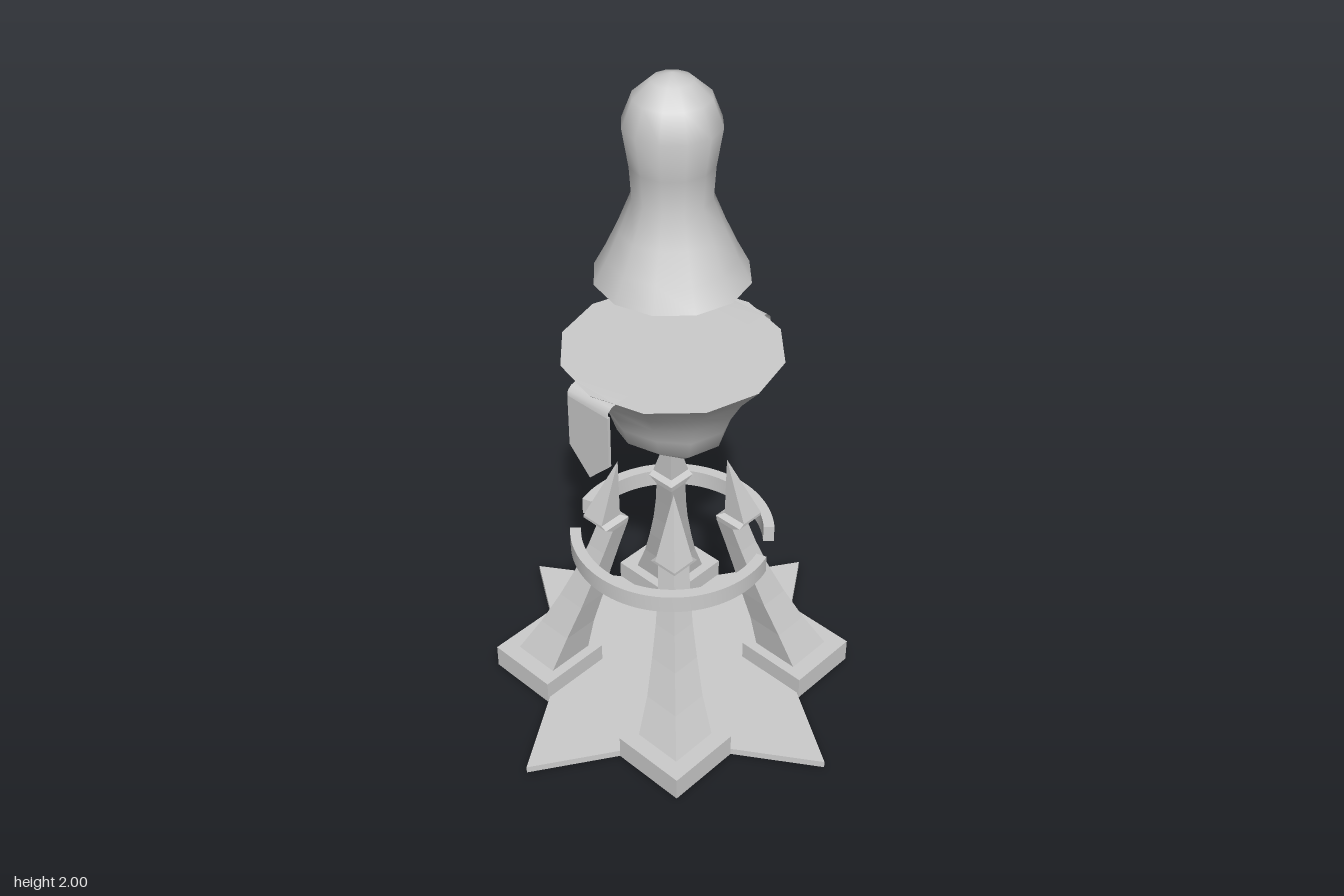
import * as THREE from 'three';
import { toCreasedNormals } from 'three/addons/utils/BufferGeometryUtils.js';

const grey = new THREE.MeshStandardMaterial({ color: 0xcccccc });
const greyDouble = new THREE.MeshStandardMaterial({ color: 0xcccccc, side: THREE.DoubleSide });

function add(parent, name, geometry, material = grey) {
  const mesh = new THREE.Mesh(geometry, material);
  mesh.name = name;
  parent.add(mesh);
  return mesh;
}

// Flat plate: outline in plan, raised from y0 to y1
function plate(shape, y0, y1) {
  const g = new THREE.ExtrudeGeometry(shape, { depth: y1 - y0, bevelEnabled: false, curveSegments: 24 });
  g.rotateX(-Math.PI / 2);
  g.translate(0, y0, 0);
  return g;
}

function square(half, PathType = THREE.Shape) {
  return new PathType([[-1, -1], [1, -1], [1, 1], [-1, 1]].map(([x, y]) => new THREE.Vector2(x * half, y * half)));
}

// Square sections [inner, outer, y] joined along the diagonal x = z
function loft(sections) {
  const rings = sections.map(([a, b, y]) => [[a, y, a], [a, y, b], [b, y, b], [b, y, a]]);
  const pos = [];
  for (let s = 0; s < rings.length - 1; s++) {
    for (let i = 0; i < 4; i++) {
      const j = (i + 1) % 4;
      const [a, b, c, d] = [rings[s][i], rings[s][j], rings[s + 1][j], rings[s + 1][i]];
      pos.push(...a, ...b, ...c, ...a, ...c, ...d);
    }
  }
  const g = new THREE.BufferGeometry();
  g.setAttribute('position', new THREE.Float32BufferAttribute(pos, 3));
  g.computeVertexNormals();
  return g;
}

function lathe(points) {
  return new THREE.LatheGeometry(points.map(([r, y]) => new THREE.Vector2(r, y)), 12);
}

export function createModel() {
  const model = new THREE.Group();
  model.name = 'brazier';

  // Four-pointed floor star
  const star = new THREE.Shape();
  for (let i = 0; i < 8; i++) {
    const r = i % 2 ? 0.344 : 0.615;
    const a = (i * Math.PI) / 4;
    star[i ? 'lineTo' : 'moveTo'](r * Math.cos(a), r * Math.sin(a));
  }
  add(model, 'starBase', plate(star, 0, 0.022));

  // Four corner supports: hollow foot, curved leg, spike
  const footRim = square(0.115);
  footRim.holes.push(square(0.07, THREE.Path));
  for (let i = 0; i < 4; i++) {
    const support = new THREE.Group();
    support.name = 'support';
    support.rotation.y = (i * Math.PI) / 2;
    model.add(support);
    add(support, 'footRim', plate(footRim, 0.004, 0.045)).position.set(0.27, 0, 0.27);
    add(support, 'footTop', plate(square(0.115), 0.045, 0.08)).position.set(0.27, 0, 0.27);
    add(support, 'leg', loft([
      [0.185, 0.335, 0.08], [0.17, 0.284, 0.19], [0.148, 0.24, 0.3],
      [0.13, 0.205, 0.4], [0.11, 0.175, 0.5], [0.092, 0.154, 0.585],
    ]));
    add(support, 'spike', loft([
      [0.092, 0.154, 0.585], [0.09, 0.183, 0.603], [0.108, 0.183, 0.612], [0.11, 0.11, 0.81],
    ]));
  }

  // Ring around the legs, broken by two gaps
  for (const start of [44, 224]) {
    const a = THREE.MathUtils.degToRad(start);
    const b = THREE.MathUtils.degToRad(start + 154);
    const arc = new THREE.Shape();
    arc.absarc(0, 0, 0.3, a, b, false);
    arc.absarc(0, 0, 0.268, b, a, true);
    add(model, 'ringHalf', toCreasedNormals(plate(arc, 0.505, 0.56), 0.5));
  }

  // Rough bowl: a lathe with a lumpy underside
  const bowl = lathe([
    [0, 0.867], [0.055, 0.915], [0.12, 0.918], [0.165, 0.955],
    [0.182, 1.01], [0.212, 1.07], [0.25, 1.13], [0.31, 1.2], [0, 1.2],
  ]);
  const p = bowl.attributes.position;
  for (let i = 0; i < p.count; i++) {
    const x = p.getX(i), y = p.getY(i), z = p.getZ(i);
    if (y > 1.15) continue;
    const low = Math.min(1, (1.15 - y) / 0.2);
    const angle = Math.atan2(x, z);
    const k = 1 + 0.06 * low * Math.cos(4 * angle);
    p.setXYZ(i, x * k, y - (y > 0.88 ? 0.014 * low * Math.cos(3 * angle + Math.PI) : 0), z * k + (y < 0.88 ? 0.025 : 0));
  }
  add(model, 'bowl', toCreasedNormals(bowl, 1.1));

  // Pointed cloths hanging over the front and back of the rim
  for (const turn of [0, Math.PI]) {
    const banner = new THREE.Group();
    banner.name = 'banner';
    banner.rotation.y = turn;
    model.add(banner);
    const cloth = new THREE.Shape([
      [-0.075, 1.17], [-0.075, 1.01], [0, 0.935], [0.075, 1.01], [0.075, 1.17],
    ].map(([x, y]) => new THREE.Vector2(x, y)));
    const hanging = new THREE.ExtrudeGeometry(cloth, { depth: 0.009, bevelEnabled: false });
    add(banner, 'hangingCloth', hanging.translate(0, 0, 0.311));
    // Fold from the bowl top down to the hanging part
    const path = [[0.22, 1.201], [0.285, 1.201], [0.305, 1.196], [0.317, 1.185], [0.32, 1.17]];
    const fold = new THREE.PlaneGeometry(0.15, 1, 1, path.length - 1);
    const q = fold.attributes.position;
    for (let i = 0; i < q.count; i++) {
      const [z, y] = path[Math.floor(i / 2)];
      q.setXYZ(i, q.getX(i), y, z);
    }
    fold.computeVertexNormals();
    add(banner, 'foldedCloth', fold, greyDouble);
  }

  // Floating flame with a flared skirt and domed top
  add(model, 'flame', toCreasedNormals(lathe([
    [0, 1.435], [0.212, 1.435], [0.178, 1.5], [0.143, 1.577], [0.107, 1.667], [0.113, 1.76],
    [0.13, 1.867], [0.102, 1.94], [0.055, 1.982], [0, 2],
  ]), 1.1));

  return model;
}
